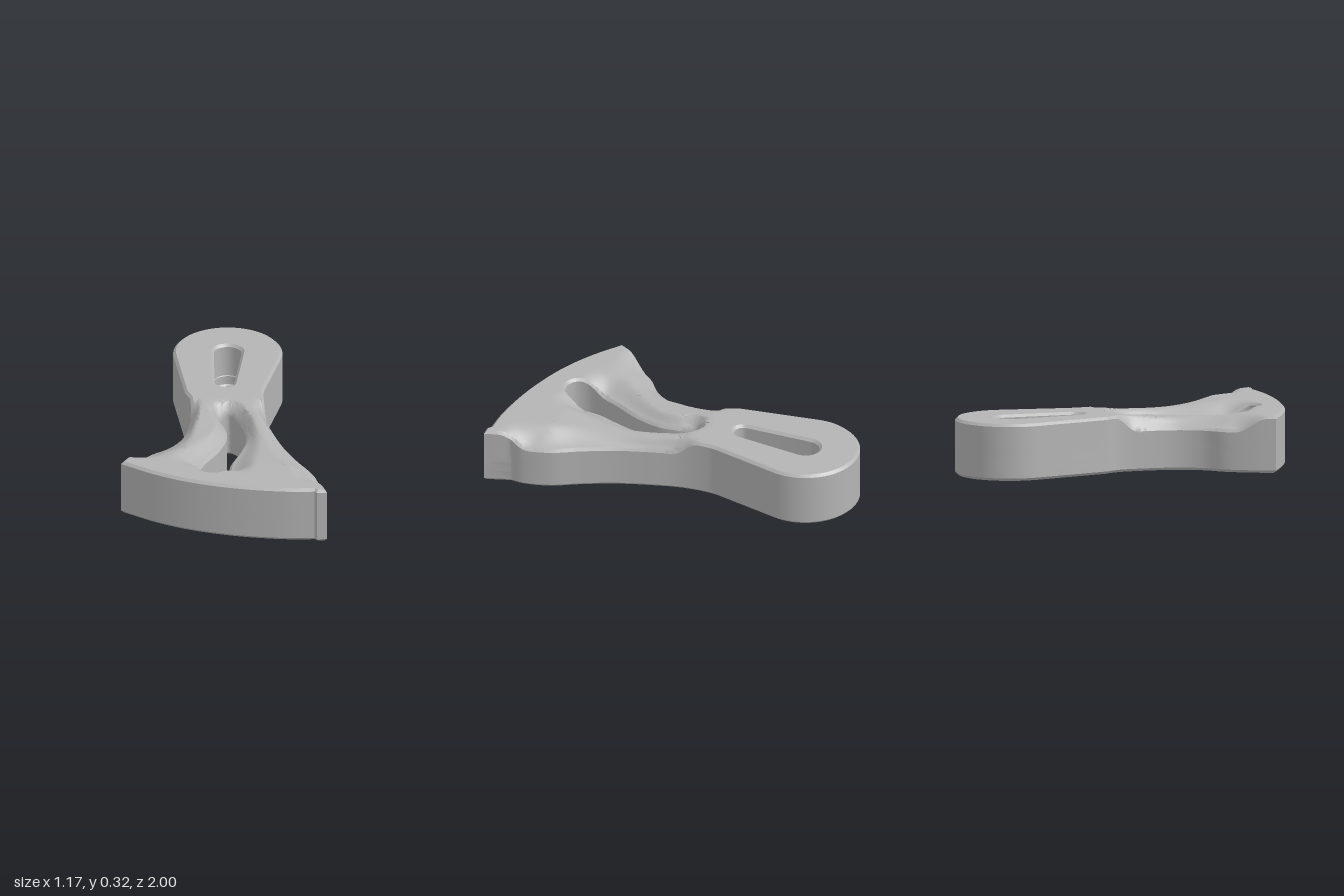
import * as THREE from 'three';
import { toCreasedNormals } from 'three/addons/utils/BufferGeometryUtils.js';

const BEVEL = 0.015, HEIGHT = 0.32;
const smooth = THREE.MathUtils.smoothstep;

// Plan points are written as [x, z]; shapes use y = -z.
const plan = pts => pts.map(([x, z]) => new THREE.Vector2(x, -z));
function spline(pts, n, closed = false) {
  const c = new THREE.CatmullRomCurve3(pts.map(([x, z]) => new THREE.Vector3(x, 0, z)), closed);
  const out = c.getPoints(n).map(p => [p.x, p.z]);
  if (closed) out.pop();
  return out;
}
function arc(cx, cz, r, a0, a1, n) {
  return Array.from({ length: n + 1 }, (_, i) => {
    const a = a0 + (a1 - a0) * i / n;
    return [cx + r * Math.cos(a), cz + r * Math.sin(a)];
  });
}
const circle = (cx, cz, r) => arc(cx, cz, r, 0, Math.PI * 2, 40).slice(0, -1);

// Outline: round handle, waist, and flared fan
const HX = -0.057, HZ = -0.695;
const leftSide = spline([[-0.272, -0.195], [-0.237, -0.11], [-0.235, 0.03], [-0.27, 0.23], [-0.34, 0.355],
  [-0.445, 0.45], [-0.535, 0.59], [-0.585, 0.695]], 40);
const fanEdge = spline([[-0.585, 0.695], [-0.39, 0.815], [-0.18, 0.905], [0.085, 0.967], [0.35, 0.99], [0.51, 0.982]], 30);
const rightSide = spline([[0.53, 0.85], [0.53, 0.77], [0.487, 0.625], [0.4, 0.48], [0.31, 0.31], [0.233, 0.11],
  [0.185, -0.05], [0.168, -0.2], [0.172, -0.26]], 44);
const outline = [
  ...arc(HX, HZ, 0.305, 0.17, -Math.PI - 0.17, 48),
  ...leftSide, ...fanEdge.slice(1), [0.525, 0.998], [0.582, 0.99], ...rightSide,
];

// Openings
const slot = spline([[-0.064, -0.01], [-0.032, 0.085], [-0.017, 0.2], [-0.048, 0.35], [-0.127, 0.535], [-0.16, 0.69],
  [-0.13, 0.765], [-0.075, 0.79], [-0.01, 0.765], [0.01, 0.69], [0.02, 0.535], [0.065, 0.375], [0.09, 0.245],
  [0.075, 0.11], [0.027, -0.01], [-0.02, -0.05]], 80, true);
const pocket = [
  ...arc(HX, HZ, 0.078, 0.06, -Math.PI - 0.06, 24),
  ...arc(HX, -0.31, 0.053, Math.PI - 0.06, 0.06, 16),
];
const arrow = [[-0.187, -0.505], [-0.177, -0.63], [-0.185, -0.63], [-0.195, -0.518], [-0.31, -0.526], [-0.31, -0.518]];

// Bevelled slab of the outline between two heights
function layer(holes, y0, y1) {
  const shape = new THREE.Shape(plan(outline));
  shape.holes = holes.map(h => new THREE.Path(plan(h)));
  const g = new THREE.ExtrudeGeometry(shape, {
    depth: y1 - y0 - 2 * BEVEL, bevelThickness: BEVEL, bevelSize: BEVEL, bevelOffset: -BEVEL, bevelSegments: 1,
  });
  g.rotateX(-Math.PI / 2).translate(0, y0 + BEVEL, 0);
  return g;
}

// Split long edges of the upper faces so that they can be shaped
function refine(geometry, limit) {
  const p = geometry.attributes.position, out = [];
  const v = i => new THREE.Vector3().fromBufferAttribute(p, i);
  const stack = [];
  for (let i = 0; i < p.count; i += 3) stack.push([v(i), v(i + 1), v(i + 2)]);
  while (stack.length) {
    const t = stack.pop(), [a, b, c] = t;
    const upper = Math.max(a.y, b.y, c.y) > 0.2 && Math.max(a.z, b.z, c.z) > -0.2;
    const long = t.map((q, i) => upper && q.distanceTo(t[(i + 1) % 3]) > limit);
    const count = long.filter(Boolean).length;
    if (!count) { for (const q of t) out.push(q.x, q.y, q.z); continue; }
    const m = t.map((q, i) => q.clone().add(t[(i + 1) % 3]).multiplyScalar(0.5));
    if (count === 3) {
      stack.push([a, m[0], m[2]], [m[0], b, m[1]], [m[2], m[1], c], [m[0], m[1], m[2]]);
    } else {
      const k = count === 1 ? long.indexOf(true) : (long.indexOf(false) + 1) % 3;
      const A = t[k], B = t[(k + 1) % 3], C = t[(k + 2) % 3], M = m[k], N = m[(k + 1) % 3];
      if (count === 1) stack.push([A, M, C], [M, B, C]);
      else stack.push([M, B, N], [A, M, N], [A, N, C]);
    }
  }
  return new THREE.BufferGeometry().setAttribute('position', new THREE.Float32BufferAttribute(out, 3));
}

// Distance from a point to a polyline
function distance(x, z, line, closed) {
  let best = Infinity;
  for (let i = closed ? 0 : 1; i < line.length; i++) {
    const [ax, az] = line[(i + line.length - 1) % line.length], [bx, bz] = line[i];
    const dx = bx - ax, dz = bz - az;
    const t = THREE.MathUtils.clamp(((x - ax) * dx + (z - az) * dz) / (dx * dx + dz * dz), 0, 1);
    best = Math.min(best, Math.hypot(x - ax - t * dx, z - az - t * dz));
  }
  return best;
}

// How far the grip dish lies below the flat top
function dishDepth(x, z) {
  const end = 0.79 + 0.25 * x;
  if (z < -0.13 || z > end) return 0;
  const ends = smooth(z, -0.13, 0.0) * (1 - smooth(z, end - 0.18, end));
  const ridge = 0.03 * Math.sin(Math.PI * THREE.MathUtils.clamp((z + 0.1) / 0.78, 0, 1));
  const d = Math.min(distance(x, z, leftSide), distance(x, z, rightSide), distance(x, z, slot, true));
  const round = 1 - smooth(d, 0, 0.06 + 0.1 * smooth(z, 0.1, 0.6));
  return ends * (ridge + (0.08 - ridge) * round);
}

export function createModel() {
  const model = new THREE.Group();
  const grey = new THREE.MeshStandardMaterial({ color: 0xb4b4b4 });
  grey.name = 'plain grey';
  const add = (name, geometry) => {
    const mesh = new THREE.Mesh(toCreasedNormals(geometry, 0.55), grey);
    mesh.name = name;
    model.add(mesh);
  };

  // Lower body with the screw hole and engraved arrow
  add('lowerBody', layer([slot, circle(HX, HZ, 0.063), arrow], 0, 0.08));
  const floor = new THREE.BoxGeometry(0.17, 0.03, 0.17);
  floor.translate(-0.245, 0.035, -0.57);
  add('arrowFloor', floor);

  // Middle body: pocket floor with the screw seat
  add('middleBody', layer([slot, circle(HX, HZ, 0.074)], 0.05, 0.14));

  // Upper body with the pocket and the dished grip
  const upper = refine(layer([slot, pocket], 0.11, HEIGHT), 0.035);
  const p = upper.attributes.position;
  for (let i = 0; i < p.count; i++) {
    const y = p.getY(i), k = THREE.MathUtils.clamp((y - 0.125) / 0.18, 0, 1);
    if (k > 0) p.setY(i, y - k * dishDepth(p.getX(i), p.getZ(i)));
  }
  add('upperBody', upper);
  return model;
}
